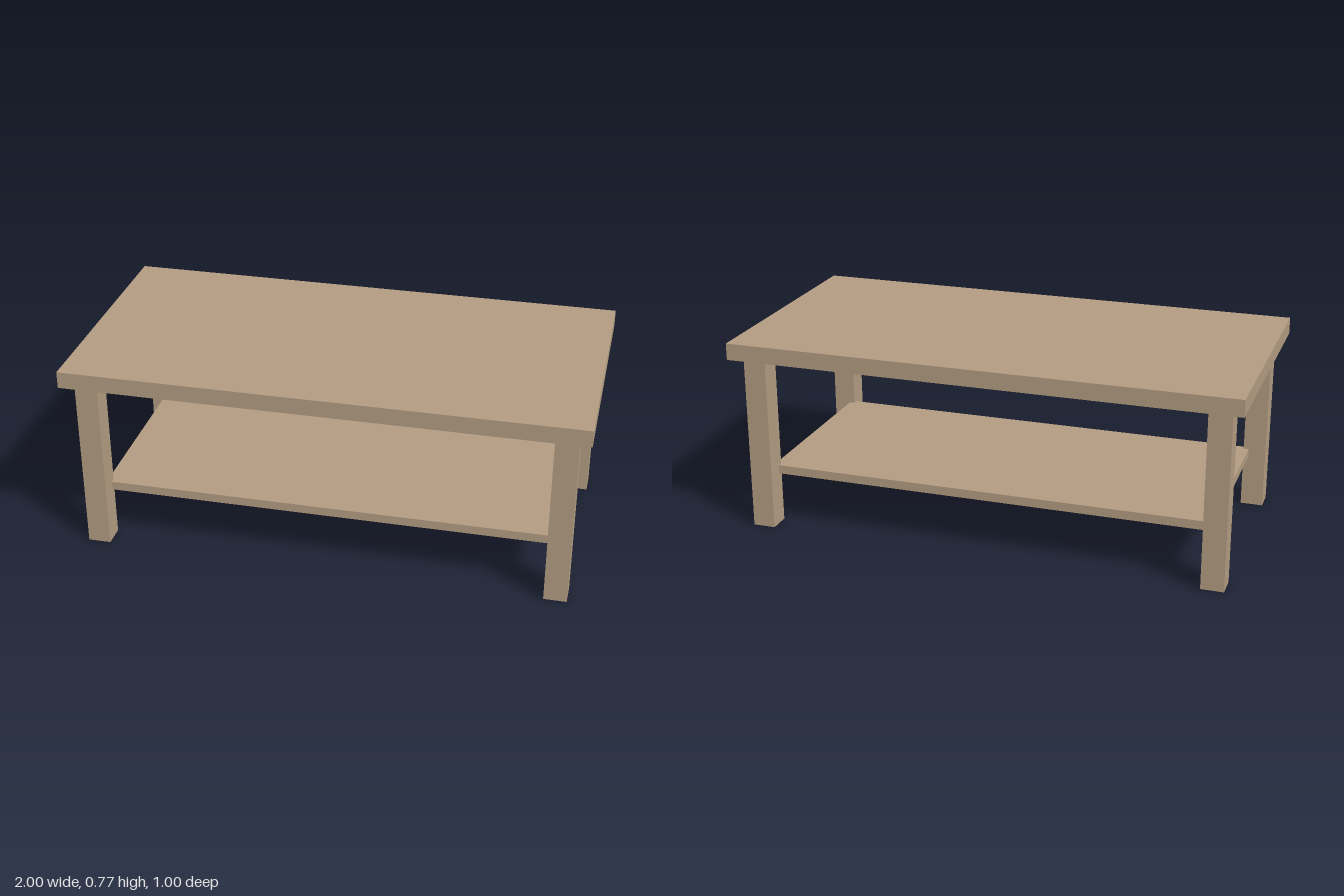
import * as THREE from 'three';

export function createModel() {
  const table = new THREE.Group();
  table.name = 'coffeeTable';

  const wood = new THREE.MeshStandardMaterial({ color: 0xb39c82 });
  wood.name = 'lightWood';

  // Adds a board centred at (x, z) that spans bottom to top in y.
  function addBoard(name, width, depth, bottom, top, x = 0, z = 0) {
    const geometry = new THREE.BoxGeometry(width, top - bottom, depth);
    const mesh = new THREE.Mesh(geometry, wood);
    mesh.name = name;
    mesh.position.set(x, (bottom + top) / 2, z);
    table.add(mesh);
  }

  addBoard('tableTop', 2, 1, 0.708, 0.774);

  // Lower shelf, its corners let slightly into the legs
  addBoard('shelf', 1.77, 0.77, 0.207, 0.242);

  // Four square legs, inset from the edges of the top
  for (const [side, sx] of [['Left', 1], ['Right', -1]]) {
    for (const [end, sz] of [['front', 1], ['back', -1]]) {
      addBoard(`${end}${side}Leg`, 0.089, 0.089, 0, 0.708, sx * 0.909, sz * 0.409);
    }
  }

  return table;
}
